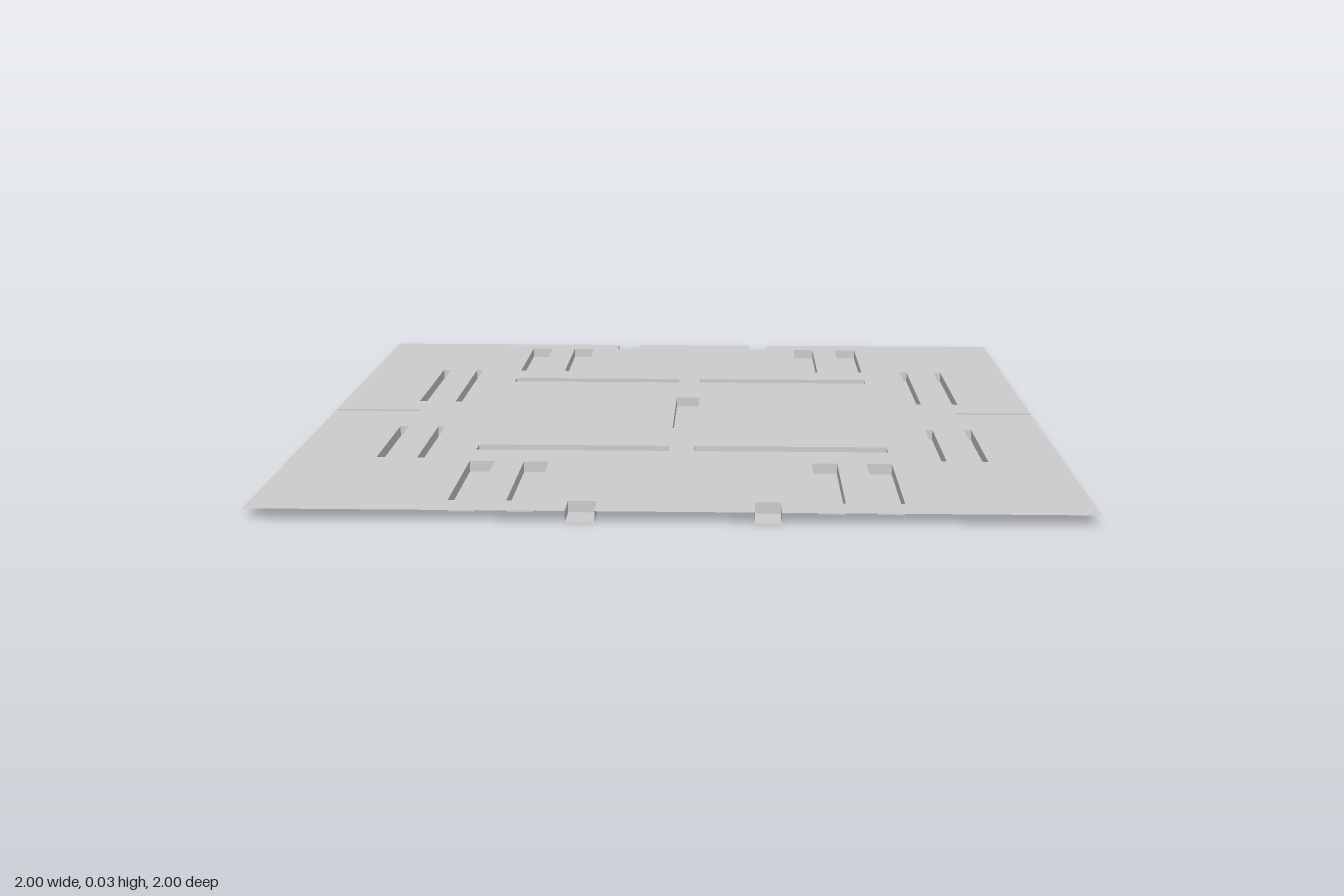
import * as THREE from 'three';
import { mergeGeometries } from 'three/addons/utils/BufferGeometryUtils.js';

const H = 0.028; // sheet height above the trench floors

// Rectangles [x0, x1, z0, z1] from every pairing of x and z ranges
const pairs = (xs, zs) => xs.flatMap(x => zs.map(z => [...x, ...z]));

const GROUPS = {
  wideSlot: pairs([[-0.53, -0.465], [-0.39, -0.325], [0.35, 0.415], [0.49, 0.555]],
    [[-0.925, -0.568], [0.555, 0.918]]),
  crossTrench: pairs([[-0.53, -0.02], [0.045, 0.555]], [[-0.455, -0.405], [0.385, 0.438]]),
  centreSlot: [[-0.02, 0.047, -0.198, 0.187]],
  narrowSlot: pairs([[-0.778, -0.755], [-0.672, -0.653], [0.677, 0.698], [0.784, 0.805]],
    [[-0.57, -0.123], [0.187, 0.525]]),
  edgeNotch: pairs([[-0.243, -0.174], [0.2, 0.262]], [[-1, -0.925], [0.915, 1]]),
  sideChannel: pairs([[-1, -0.755], [0.784, 1]], [[-0.016, 0.003]]),
};

// Floor and walls of one recess; it stays open where it meets the sheet's rim
function recess([x0, x1, z0, z1]) {
  const w = x1 - x0, d = z1 - z0, cx = (x0 + x1) / 2, cz = (z0 + z1) / 2;
  const parts = [new THREE.PlaneGeometry(w, d).rotateX(-Math.PI / 2).translate(cx, 0, cz)];
  const wall = (len, turn, x, z) =>
    parts.push(new THREE.PlaneGeometry(len, H).rotateY(turn).translate(x, H / 2, z));
  if (z0 > -1) wall(w, 0, cx, z0);
  if (z1 < 1) wall(w, Math.PI, cx, z1);
  if (x0 > -1) wall(d, Math.PI / 2, x0, cz);
  if (x1 < 1) wall(d, -Math.PI / 2, x1, cz);
  return mergeGeometries(parts);
}

// Flat sheet with rim notches in its outline and holes over the inner recesses
function sheetGeometry() {
  const pts = [];
  const add = (x, z) => pts.push(new THREE.Vector2(x, -z));
  const [lb, lf, rb, rf] = GROUPS.edgeNotch; // left/right, back/front
  const [left, right] = GROUPS.sideChannel;
  add(-1, 1);
  for (const [x0, x1, z0] of [lf, rf]) { add(x0, 1); add(x0, z0); add(x1, z0); add(x1, 1); }
  add(1, 1);
  add(1, right[3]); add(right[0], right[3]); add(right[0], right[2]); add(1, right[2]);
  add(1, -1);
  for (const [x0, x1, , z1] of [rb, lb]) { add(x1, -1); add(x1, z1); add(x0, z1); add(x0, -1); }
  add(-1, -1);
  add(-1, left[2]); add(left[1], left[2]); add(left[1], left[3]); add(-1, left[3]);

  const shape = new THREE.Shape(pts);
  for (const name of ['wideSlot', 'crossTrench', 'centreSlot', 'narrowSlot'])
    for (const [x0, x1, z0, z1] of GROUPS[name])
      shape.holes.push(new THREE.Path([
        new THREE.Vector2(x0, -z0), new THREE.Vector2(x1, -z0),
        new THREE.Vector2(x1, -z1), new THREE.Vector2(x0, -z1)]));
  return new THREE.ShapeGeometry(shape).rotateX(-Math.PI / 2).translate(0, H, 0);
}

export function createModel() {
  const model = new THREE.Group();
  model.name = 'slottedFloor';
  const material = new THREE.MeshStandardMaterial({ color: 0xcccccc, side: THREE.DoubleSide });

  const sheet = new THREE.Mesh(sheetGeometry(), material);
  sheet.name = 'sheet';
  model.add(sheet);

  // Recesses, grouped by kind
  for (const [name, rects] of Object.entries(GROUPS)) {
    const group = new THREE.Group();
    group.name = name + 'Group';
    rects.forEach((rect, i) => {
      const mesh = new THREE.Mesh(recess(rect), material);
      mesh.name = name + (i + 1);
      group.add(mesh);
    });
    model.add(group);
  }
  return model;
}
